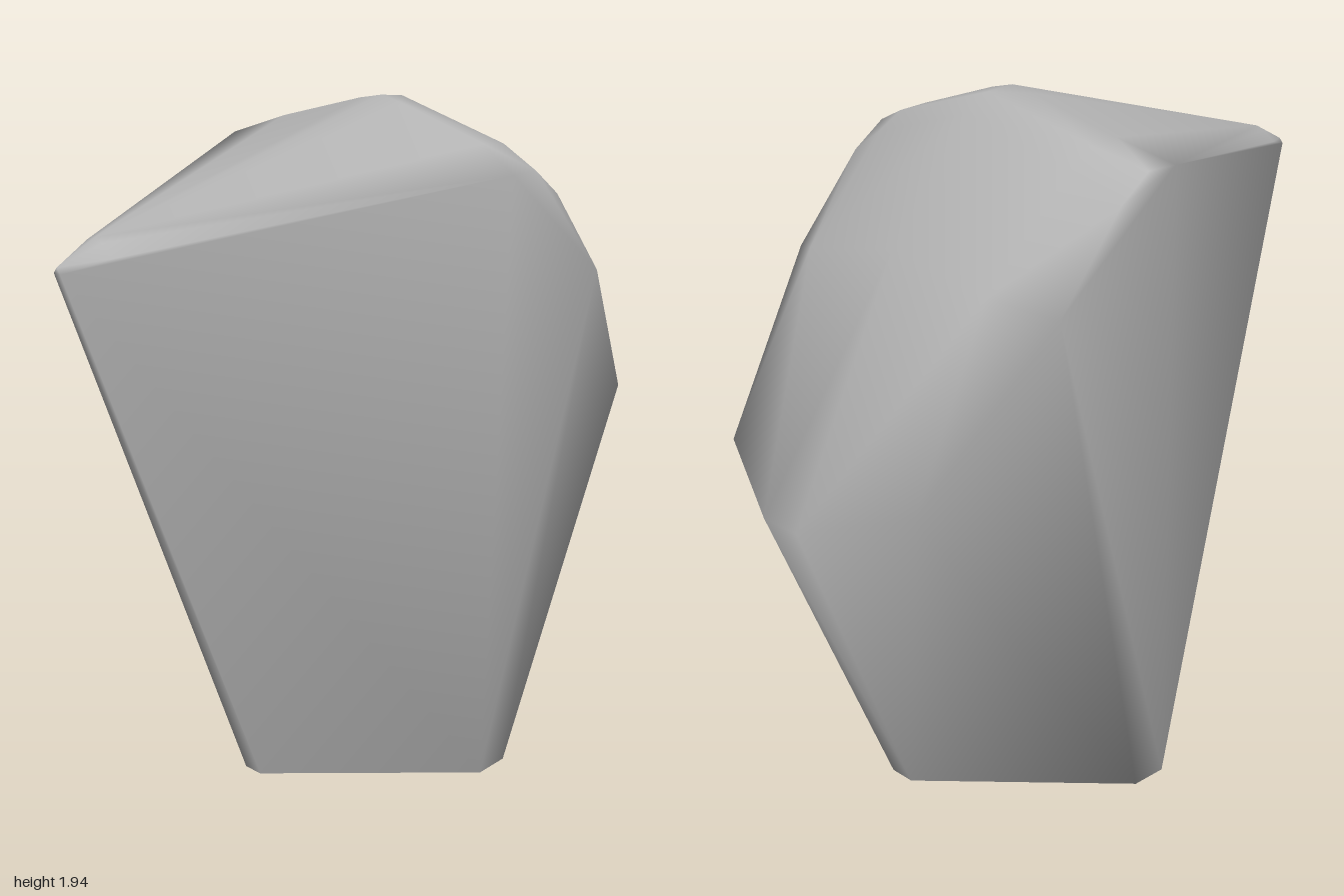
import * as THREE from 'three';
import { mergeVertices } from 'three/addons/utils/BufferGeometryUtils.js';
import { ConvexGeometry } from 'three/addons/geometries/ConvexGeometry.js';

// Corner points of one half, x >= 0; the other half is mirrored
const ridge = [
  [0, 1.645, 1], [0, 1.7, 0.88], [0, 1.94, -0.17], [0, 1.93, -0.26], [0, 1.88, -0.34], [0, 1.56, -0.6],
];
const crown = [
  [0.03, 1.69, 0.88], [0.08, 1.925, -0.17], [0.38, 1.845, -0.16],
  [0.38, 1.835, -0.25], [0.38, 1.785, -0.33], [0.36, 1.5, -0.6],
];
const rim = [
  [0.012, 1.63, 1], [0.068, 1.657, 0.88], [0.53, 1.787, -0.1], [0.53, 1.785, -0.2],
  [0.53, 1.71, -0.3], [0.53, 1.46, -0.51], [0.39, 1.0, -0.87], [0.07, 0.9, -1],
];
const foot = [[0.03, 0, 0.38], [0.505, 0, -0.07], [0.505, 0, -0.18], [0.04, 0, -0.63]];

export function createModel() {
  const group = new THREE.Group();
  group.name = 'smoothStone';
  const stone = new THREE.MeshStandardMaterial({ color: 0xb4b4b4 });
  stone.name = 'stone grey';

  const half = [...crown, ...rim, ...foot];
  const points = [...ridge, ...half, ...half.map(([x, y, z]) => [-x, y, z])];

  // Convex body with normals shared across every edge
  const hull = new ConvexGeometry(points.map((p) => new THREE.Vector3(...p)));
  hull.deleteAttribute('normal');
  const geometry = mergeVertices(hull, 1e-4);
  geometry.computeVertexNormals();

  const body = new THREE.Mesh(geometry, stone);
  body.name = 'body';
  group.add(body);
  return group;
}
